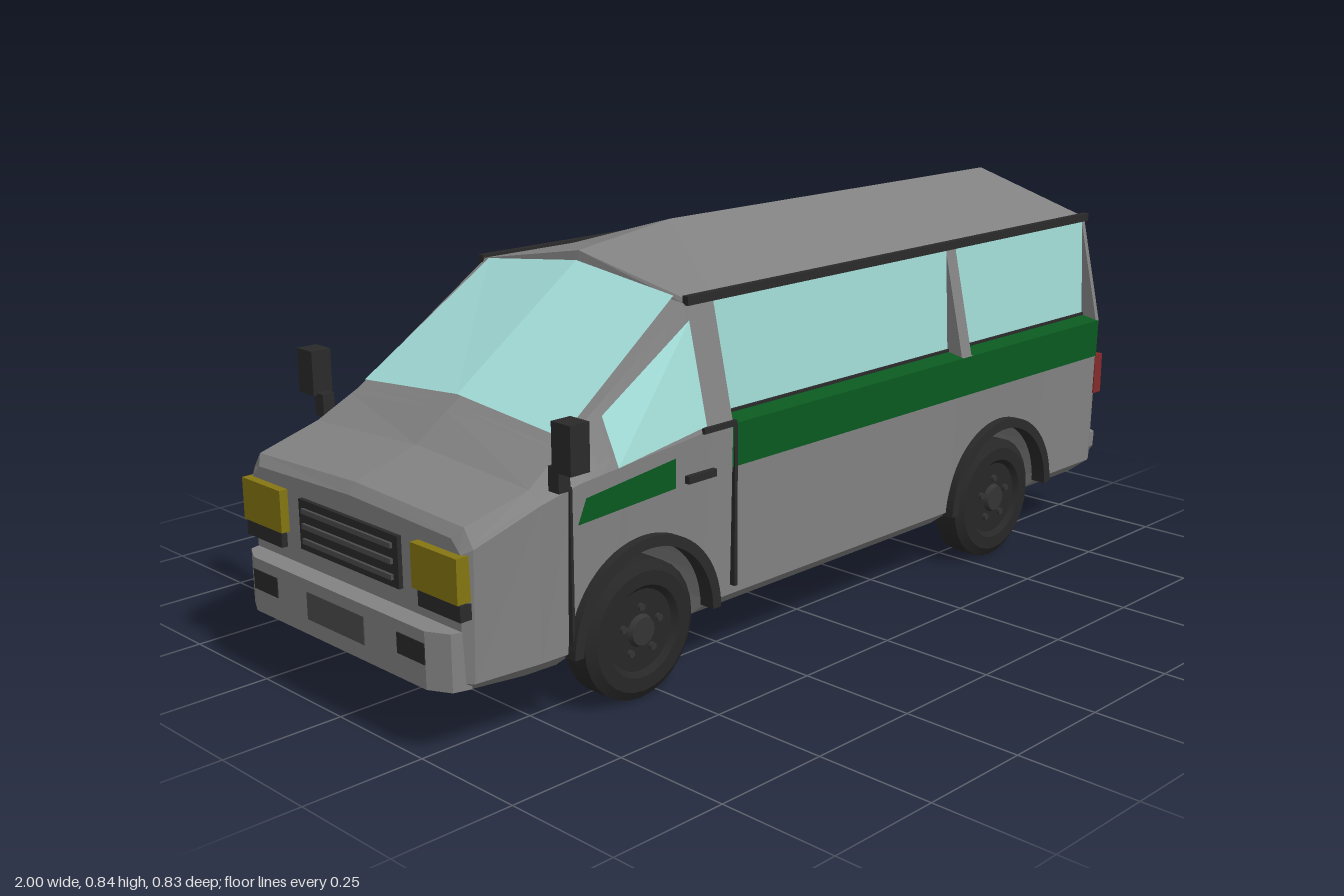
import * as THREE from 'three';
import { toCreasedNormals } from 'three/addons/utils/BufferGeometryUtils.js';

const mat = (name, color, side = THREE.FrontSide) => {
  const m = new THREE.MeshStandardMaterial({ color, side });
  m.name = name;
  return m;
};

export function createModel() {
  const van = new THREE.Group();
  van.name = 'van';
  const body = mat('bodyGrey', 0x828282);
  const glass = mat('glass', 0xa2dcd7, THREE.DoubleSide);
  const green = mat('stripeGreen', 0x0b5a20, THREE.DoubleSide);
  const dark = mat('trimBlack', 0x2a2a2a);
  const tyre = mat('tyreBlack', 0x272727);
  const hubMat = mat('hubGrey', 0x343434);
  const yellow = mat('lampYellow', 0x857612);
  const red = mat('lampRed', 0x852a2a);
  const plate = mat('plateGrey', 0x4b4b4b);

  const add = (name, geo, material) => {
    const m = new THREE.Mesh(geo, material);
    m.name = name;
    van.add(m);
    return m;
  };
  // Box given by its min and max on each axis
  const box = (name, material, [x0, x1], [y0, y1], [z0, z1]) => {
    const g = new THREE.BoxGeometry(x1 - x0, y1 - y0, z1 - z0);
    g.translate((x0 + x1) / 2, (y0 + y1) / 2, (z0 + z1) / 2);
    return add(name, g, material);
  };
  // The same box on both sides of the van
  const pair = (name, material, xr, yr, [z0, z1]) => {
    box(name, material, xr, yr, [z0, z1]);
    box(name, material, xr, yr, [-z1, -z0]);
  };
  const flat = (pos, index) => {
    let g = new THREE.BufferGeometry();
    g.setAttribute('position', new THREE.Float32BufferAttribute(pos.flat(), 3));
    g.setIndex(index);
    g = g.toNonIndexed();
    g.computeVertexNormals();
    return g;
  };
  // Thin convex face on +z and its mirror on -z
  const panels = (name, material, pts) => [1, -1].forEach((s) => {
    const idx = [];
    for (let i = 1; i < pts.length - 1; i++) idx.push(0, ...(s > 0 ? [i, i + 1] : [i + 1, i]));
    add(name, flat(pts.map(([x, y, z]) => [x, y, z * s]), idx), material);
  });

  // Body keys: x, bottom, half width, shoulder y, rail z, rail y, ridge y
  const keys = [
    [-0.955, 0.14, 0.325, 0.39, 0.30, 0.415, 0.425],
    [-0.94, 0.13, 0.342, 0.40, 0.318, 0.435, 0.447],
    [-0.80, 0.112, 0.357, 0.45, 0.325, 0.472, 0.488],
    [-0.71, 0.11, 0.36, 0.47, 0.31, 0.525, 0.55],
    [-0.39, 0.11, 0.36, 0.50, 0.302, 0.74, 0.775],
    [-0.385, 0.11, 0.36, 0.50, 0.302, 0.748, 0.803],
    [-0.13, 0.11, 0.36, 0.50, 0.302, 0.748, 0.836],
    [0.955, 0.11, 0.36, 0.50, 0.302, 0.748, 0.836],
    [0.975, 0.115, 0.35, 0.50, 0.295, 0.738, 0.815],
  ];
  const axles = [-0.55, 0.575], axleY = 0.14, archR = 0.175;
  const bays = [[-0.315, 0.415], [0.45, 0.948]];
  const xs = keys.map((k) => k[0]);
  [...bays, ...axles.map((a) => [a - archR, a + archR])].flat()
    .forEach((e) => xs.push(e - 0.0005, e + 0.0005));
  axles.forEach((a) => {
    for (let i = 1; i < 14; i++) xs.push(a + archR * Math.cos((i * Math.PI) / 14));
  });
  xs.sort((a, b) => a - b);

  const section = (x) => {
    let i = 0;
    while (i < keys.length - 2 && x > keys[i + 1][0]) i++;
    const t = (x - keys[i][0]) / (keys[i + 1][0] - keys[i][0]);
    let [, b, w, sy, rz, ry, top] = keys[i].map((v, j) => v + (keys[i + 1][j] - v) * t);
    axles.forEach((a) => {
      const d = archR ** 2 - (x - a) ** 2;
      if (d > 0) b = axleY + Math.sqrt(d);
    });
    const inset = bays.some(([p, q]) => x > p && x < q);
    const c = Math.min(1, Math.max(0, (b - 0.11) / 0.04));
    const half = [
      [x, b, 0], [x, b, w - 0.06 + 0.05 * c], [x, Math.max(b, 0.15), w - 0.008], [x, sy, w],
      inset ? [x, 0.508, 0.316] : [x, sy + (ry - sy) * 0.2, w + (rz - w) * 0.2],
      [x, ry, rz], [x, top, 0],
    ];
    return [...half, ...half.slice(1, -1).reverse().map(([px, py, pz]) => [px, py, -pz])];
  };

  // Body shell with wheel tunnels and recessed window bays
  const rings = xs.map(section), n = rings[0].length, pos = rings.flat(), index = [];
  for (let i = 0; i < rings.length - 1; i++) {
    for (let j = 0; j < n; j++) {
      const a = i * n + j, b = i * n + ((j + 1) % n);
      index.push(a, a + n, b + n, a, b + n, b);
    }
  }
  const last = (rings.length - 1) * n, c0 = pos.length;
  pos.push([xs[0], 0.3, 0], [xs[xs.length - 1], 0.4, 0]);
  for (let j = 0; j < n; j++) {
    const k = (j + 1) % n;
    index.push(c0, j, k, c0 + 1, last + k, last + j);
  }
  add('body', flat(pos, index), body);

  // Windows
  panels('windscreen', glass, [[-0.70, 0.567, 0], [-0.70, 0.542, 0.30], [-0.392, 0.752, 0.275], [-0.392, 0.784, 0]]);
  panels('cabWindow', glass, [[-0.62, 0.48, 0.364], [-0.39, 0.512, 0.362], [-0.39, 0.71, 0.315], [-0.62, 0.57, 0.32]]);
  bays.forEach(([a, b]) => panels('sideWindow', glass,
    [[a, 0.51, 0.319], [b, 0.51, 0.319], [b, 0.74, 0.306], [a, 0.74, 0.306]]));
  [1, -1].forEach((s) => {
    const p = [[0.008, 0.757], [0.274, 0.703], [0.265, 0.43], [0.008, 0.43]].map(([z, y]) => [0.979, y, z * s]);
    add('rearWindow', flat(p, s > 0 ? [0, 1, 2, 0, 2, 3] : [0, 2, 1, 0, 3, 2]), glass);
  });
  box('rearWindowDivider', dark, [0.975, 0.981], [0.42, 0.77], [-0.002, 0.002]);

  // Green stripes: side band, ledge under the windows, cab patch
  panels('sideStripe', green, [[-0.32, 0.415, 0.362], [0.953, 0.415, 0.362], [0.953, 0.503, 0.364], [-0.32, 0.503, 0.364]]);
  bays.forEach(([a, b]) => panels('stripeLedge', green,
    [[a, 0.503, 0.364], [b, 0.503, 0.364], [b, 0.512, 0.317], [a, 0.512, 0.317]]));
  panels('cabStripe', green, [[-0.72, 0.395, 0.363], [-0.475, 0.408, 0.363], [-0.475, 0.467, 0.364], [-0.70, 0.442, 0.364]]);

  // Rails, door seams and handles
  pair('roofRail', dark, [-0.39, 0.965], [0.737, 0.755], [0.298, 0.312]);
  pair('windowSill', dark, [-0.315, 0.95], [0.508, 0.517], [0.314, 0.323]);
  pair('cabRail', dark, [-0.40, -0.31], [0.498, 0.509], [0.35, 0.366]);
  pair('doorSeam', dark, [-0.316, -0.308], [0.17, 0.50], [0.35, 0.365]);
  pair('cabDoorSeam', dark, [-0.738, -0.732], [0.15, 0.47], [0.35, 0.363]);
  pair('doorHandle', dark, [-0.445, -0.37], [0.41, 0.425], [0.35, 0.369]);
  box('slidingDoorSeam', dark, [0.257, 0.263], [0.17, 0.42], [-0.363, -0.35]);
  box('slidingDoorLowerSeam', dark, [-0.31, 0.26], [0.167, 0.173], [-0.361, -0.35]);
  box('slidingDoorHandle', dark, [0.14, 0.22], [0.43, 0.45], [-0.371, -0.35]);
  box('doorStep', dark, [-0.27, 0.13], [0.13, 0.15], [-0.373, -0.33]);

  // Mirrors
  pair('mirrorArm', dark, [-0.772, -0.745], [0.468, 0.515], [0.345, 0.373]);
  pair('mirror', dark, [-0.78, -0.735], [0.51, 0.602], [0.365, 0.415]);

  // Front: lamps, grille, bumper
  pair('headlamp', yellow, [-0.973, -0.935], [0.305, 0.39], [0.205, 0.335]);
  pair('headlampBase', dark, [-0.968, -0.935], [0.272, 0.302], [0.215, 0.335]);
  box('grille', dark, [-0.964, -0.94], [0.285, 0.385], [-0.155, 0.155]);
  [0.305, 0.335, 0.365].forEach((y) => box('grilleBar', plate, [-0.970, -0.96], [y - 0.005, y + 0.005], [-0.14, 0.14]));
  const bumperShape = new THREE.Shape([[-0.94, -0.325], [-0.975, -0.315], [-0.998, -0.27], [-0.998, 0.27],
    [-0.975, 0.315], [-0.94, 0.325]].map(([x, z]) => new THREE.Vector2(x, z)));
  const fb = new THREE.ExtrudeGeometry(bumperShape, { depth: 0.11, bevelEnabled: false });
  fb.rotateX(Math.PI / 2).translate(0, 0.248, 0);
  add('frontBumper', fb, body);
  pair('fogLamp', dark, [-1, -0.98], [0.185, 0.225], [0.19, 0.27]);
  box('frontPlate', plate, [-1, -0.99], [0.17, 0.225], [-0.09, 0.09]);

  // Rear: bumper, lamps, plate
  const rearHalf = [[0, 0.25], [0.28, 0.23], [0.34, 0.212], [0.338, 0.175], [0.325, 0.155], [0.275, 0.13]];
  const rearPts = [...rearHalf, ...rearHalf.slice(1).reverse().map(([z, y]) => [-z, y])];
  const rb = new THREE.ExtrudeGeometry(new THREE.Shape(rearPts.map(([z, y]) => new THREE.Vector2(z, y))),
    { depth: 0.035, bevelEnabled: false });
  rb.rotateY(Math.PI / 2).translate(0.963, 0, 0);
  add('rearBumper', rb, body);
  pair('tailLamp', red, [0.955, 0.985], [0.32, 0.415], [0.315, 0.359]);
  box('rearPlate', plate, [0.97, 0.982], [0.256, 0.322], [-0.092, 0.092]);

  // Wheels and arch flares
  const tyreGeo = toCreasedNormals(new THREE.LatheGeometry([[0, -0.041], [0.12, -0.041], [0.139, -0.028],
    [0.139, 0.028], [0.12, 0.041], [0.092, 0.041], [0.082, 0.03], [0, 0.03]]
    .map(([r, y]) => new THREE.Vector2(r, y)), 28), 0.5).rotateX(Math.PI / 2);
  const hubGeo = new THREE.CylinderGeometry(0.028, 0.034, 0.012, 16).rotateX(Math.PI / 2);
  const nutGeo = new THREE.CylinderGeometry(0.008, 0.008, 0.01, 6).rotateX(Math.PI / 2);
  const ring = new THREE.Shape();
  ring.absarc(0, 0, 0.19, 0, Math.PI, false);
  ring.absarc(0, 0, 0.168, Math.PI, 0, true);
  const flareGeo = new THREE.ExtrudeGeometry(ring, { depth: 0.035, bevelEnabled: false, curveSegments: 16 });
  axles.forEach((x) => [1, -1].forEach((s) => {
    const wheel = new THREE.Group();
    wheel.name = 'wheel';
    wheel.position.set(x, 0.139, s * 0.311);
    if (s < 0) wheel.rotation.y = Math.PI;
    const part = (name, g, m, px, py, pz) => {
      const o = new THREE.Mesh(g, m);
      o.name = name;
      o.position.set(px, py, pz);
      wheel.add(o);
    };
    part('tyre', tyreGeo, tyre, 0, 0, 0);
    part('hub', hubGeo, hubMat, 0, 0, 0.034);
    for (let i = 0; i < 5; i++) {
      const a = Math.PI / 2 + (i * Math.PI * 2) / 5;
      part('wheelNut', nutGeo, hubMat, 0.048 * Math.cos(a), 0.048 * Math.sin(a), 0.033);
    }
    van.add(wheel);
    add('archFlare', flareGeo, dark).position.set(x, 0.142, s > 0 ? 0.336 : -0.371);
  }));
  return van;
}
